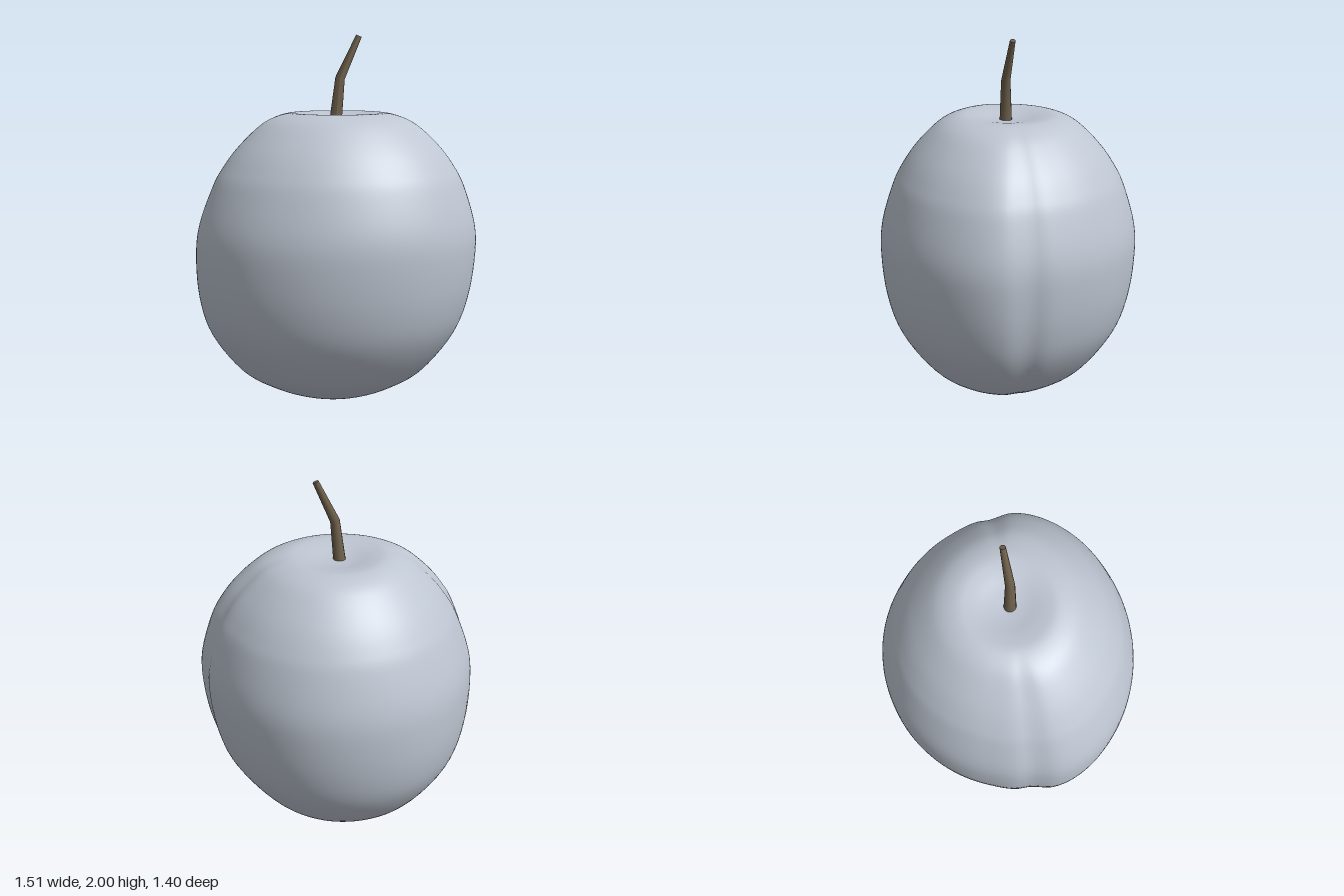
import * as THREE from 'three';
import { mergeVertices } from 'three/addons/utils/BufferGeometryUtils.js';

const skin = new THREE.MeshStandardMaterial({ color: 0xbec6d2 });
skin.name = 'fruit skin';
const bark = new THREE.MeshStandardMaterial({ color: 0x6e604b });
bark.name = 'woody brown';

// Radius around the equator by angle in degrees (-90 back, 0 side groove, 90 front)
const ring = [[-90, 0.7], [-65, 0.702], [-45, 0.703], [-20, 0.713], [-6, 0.731], [0, 0.727], [4, 0.738],
  [11, 0.766], [22, 0.769], [45, 0.738], [68, 0.708], [90, 0.697]];

// Smooth (Hermite) interpolation through the ring values, flat at both ends
function ringRadius(deg) {
  let i = 0;
  while (i < ring.length - 2 && deg > ring[i + 1][0]) i++;
  const slope = (k) => (k <= 0 || k >= ring.length - 1) ? 0
    : (ring[k + 1][1] - ring[k - 1][1]) / (ring[k + 1][0] - ring[k - 1][0]);
  const [a0, r0] = ring[i], [a1, r1] = ring[i + 1];
  const h = a1 - a0, t = (deg - a0) / h, t2 = t * t, t3 = t2 * t;
  return r0 * (2 * t3 - 3 * t2 + 1) + slope(i) * h * (t3 - 2 * t2 + t)
    + r1 * (3 * t2 - 2 * t3) + slope(i + 1) * h * (t3 - t2);
}

// Fruit: a lathed profile, grooved down both sides and leaning slightly to +x
function fruitGeometry() {
  const profile = new THREE.SplineCurve([
    [0, 0.018], [0.16, 0.02], [0.32, 0.045], [0.49, 0.1], [0.68, 0.2], [0.878, 0.4], [0.968, 0.6],
    [1, 0.83], [0.982, 1.0], [0.895, 1.2], [0.825, 1.3], [0.728, 1.4], [0.595, 1.5], [0.49, 1.555],
    [0.37, 1.583], [0.26, 1.579], [0.13, 1.562], [0, 1.553],
  ].map(([x, y]) => new THREE.Vector2(x, y)));
  const points = profile.getPoints(85);
  points[0].x = points[85].x = 0;
  let geo = new THREE.LatheGeometry(points, 144);
  const pos = geo.attributes.position;
  for (let i = 0; i < pos.count; i++) {
    const x = pos.getX(i), y = pos.getY(i), z = pos.getZ(i);
    const out = Math.hypot(x, z);
    // The groove fades towards the poles
    const full = ringRadius(THREE.MathUtils.radToDeg(Math.atan2(z, Math.abs(x))));
    const r = THREE.MathUtils.lerp(0.71, full, THREE.MathUtils.smoothstep(out, 0.1, 0.6));
    pos.setXYZ(i, x * r + 0.045 * (y - 0.83) * out, y, z * r);
  }
  geo.deleteAttribute('uv');
  geo.deleteAttribute('normal');
  geo = mergeVertices(geo, 1e-5);
  geo.computeVertexNormals();
  return geo;
}

// Stem: a tapered cylinder bent at one joint
function stemGeometry() {
  const stations = [[0, 1.53, 0.01, 0.034], [0.025, 1.77, 0.014, 0.025], [0.127, 1.995, -0.004, 0.015]];
  const geo = new THREE.CylinderGeometry(1, 1, 2, 12, 2);
  const pos = geo.attributes.position;
  for (let i = 0; i < pos.count; i++) {
    const s = Math.round(pos.getY(i)) + 1;
    const [cx, cy, cz, r] = stations[s];
    const tilt = [0, -0.25, -0.4][s];
    const x = pos.getX(i) * r;
    pos.setXYZ(i, cx + x, cy + x * tilt, cz + pos.getZ(i) * r);
  }
  geo.computeVertexNormals();
  return geo;
}

export function createModel() {
  const model = new THREE.Group();
  model.name = 'stonefruit';

  const fruit = new THREE.Mesh(fruitGeometry(), skin);
  fruit.name = 'fruit';
  const stem = new THREE.Mesh(stemGeometry(), bark);
  stem.name = 'stem';
  model.add(fruit, stem);

  // Dried blossom: five small tapering arms under the fruit
  const blossom = new THREE.Group();
  blossom.name = 'driedBlossom';
  const arm = new THREE.CylinderGeometry(0.008, 0.014, 0.1, 8);
  arm.rotateZ(-Math.PI / 2);
  arm.translate(0.05, 0.014, 0);
  for (let i = 0; i < 5; i++) {
    const mesh = new THREE.Mesh(arm, bark);
    mesh.name = 'blossomArm';
    mesh.rotation.y = (i * Math.PI * 2) / 5;
    blossom.add(mesh);
  }
  model.add(blossom);
  return model;
}
